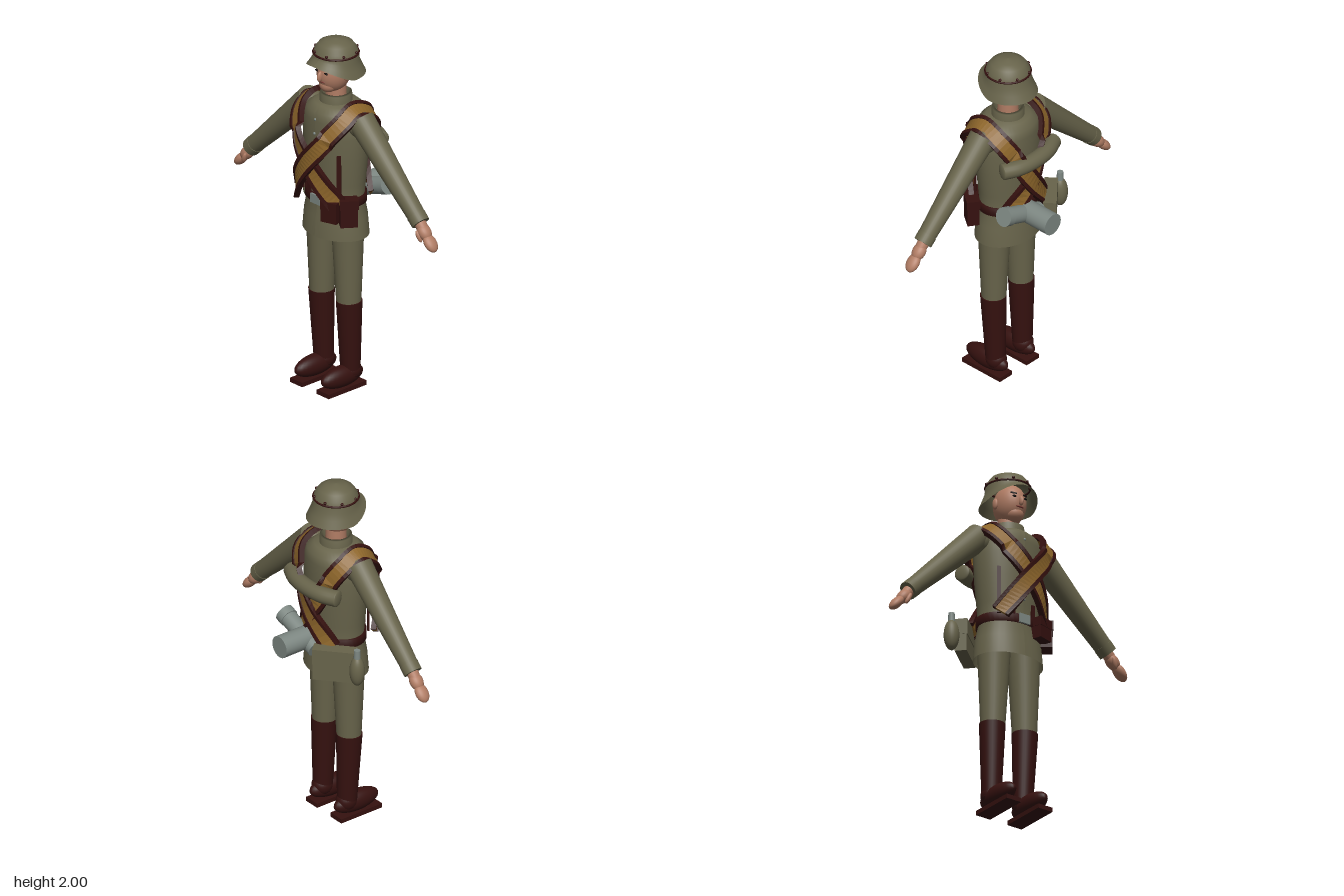
import * as THREE from 'three';

const mat = (name, color, side = THREE.FrontSide) =>
  Object.assign(new THREE.MeshStandardMaterial({ color, side }), { name });
const V = (x, y, z) => new THREE.Vector3(x, y, z);
const ZC = 0.06; // depth of the body axis

export function createModel() {
  const root = new THREE.Group();
  root.name = 'infantrySoldier';
  const cloth = mat('olive cloth', 0x68644b, THREE.DoubleSide);
  const skin = mat('skin', 0xb07c64);
  const leather = mat('dark leather', 0x35110f);
  const canvas = mat('ochre canvas', 0x8c652a);
  const metal = mat('grey metal', 0x7d8782);
  const black = mat('black', 0x17100e);
  const lipRed = mat('lips', 0x7c3a34);

  const add = (name, geo, m, p = [0, 0, 0], r = [0, 0, 0], s = [1, 1, 1]) => {
    const mesh = new THREE.Mesh(geo, m);
    mesh.name = name;
    mesh.position.set(...p);
    mesh.rotation.set(...r);
    mesh.scale.set(...s);
    root.add(mesh);
    return mesh;
  };
  const box = (name, size, m, p, r) => add(name, new THREE.BoxGeometry(...size), m, p, r);
  const ball = (name, radii, m, p, r) => add(name, new THREE.SphereGeometry(1, 28, 18), m, p, r, radii);
  // Tapered cylinder between two points
  const limb = (name, a, b, ra, rb, m, open = false) => {
    const dir = b.clone().sub(a);
    const mesh = add(name, new THREE.CylinderGeometry(rb, ra, dir.length(), 28, 1, open), m,
      a.clone().add(b).multiplyScalar(0.5).toArray());
    mesh.quaternion.setFromUnitVectors(V(0, 1, 0), dir.normalize());
    return mesh;
  };
  const lathe = (pts, seg = 40) =>
    new THREE.LatheGeometry(pts.map(p => new THREE.Vector2(...p)), seg);
  const reshape = (geo, rule) => {
    const pos = geo.attributes.position;
    const v = new THREE.Vector3();
    for (let i = 0; i < pos.count; i++) {
      rule(v.fromBufferAttribute(pos, i));
      pos.setXYZ(i, v.x, v.y, v.z);
    }
    geo.computeVertexNormals();
    return geo;
  };

  // Tunic: elliptical body rounding into a circular neck
  const depthAt = y => 0.76 + 0.2 * THREE.MathUtils.smoothstep(y, 1.54, 1.65);
  add('tunic', reshape(lathe([[0.203, 0.89], [0.193, 1], [0.172, 1.1], [0.182, 1.2], [0.196, 1.35],
    [0.202, 1.48], [0.195, 1.56], [0.165, 1.61], [0.12, 1.64], [0.07, 1.65]]),
    v => { v.z *= depthAt(v.y); }), cloth, [0, 0, ZC]);
  add('collar', lathe([[0.09, 1.625], [0.086, 1.69], [0.074, 1.695], [0.07, 1.64]]), cloth, [0, 0, ZC]);
  for (const [y, z] of [[1.22, 0.203], [1.31, 0.21], [1.4, 0.214], [1.49, 0.216], [1.57, 0.21]])
    ball('tunicButton', [0.008, 0.008, 0.006], metal, [0, y, z]);

  // Belt, buckle and loops
  add('belt', lathe([[0.168, 1.082], [0.187, 1.082], [0.187, 1.13], [0.168, 1.13]]), leather,
    [0, 0, ZC], [0, 0, 0], [1, 1, 0.78]);
  box('buckle', [0.07, 0.052, 0.012], metal, [0, 1.105, 0.208]);
  for (const x of [-0.065, 0.065]) box('beltLoop', [0.022, 0.08, 0.012], leather, [x, 1.165, 0.193]);
  for (const s of [-1, 1])
    box('supportStrap', [0.022, 0.27, 0.012], leather, [s * 0.14, 1.255, 0.168], [0, s * 0.6, 0]);

  // Cartridge pouches around the left hip
  for (const [x, z, turn, h, y] of [[0.115, 0.2, 0.3, 0.115, 1.07], [0.19, 0.145, 0.95, 0.15, 1.07]]) {
    box('pouch', [0.095, h, 0.065], leather, [x, y, z], [0, turn, 0]);
    box('pouchFlap', [0.1, 0.05, 0.073], leather, [x, y + h / 2 - 0.02, z], [0, turn, 0]);
  }

  // Arms, hands, legs and boots
  for (const s of [-1, 1]) {
    const hip = V(s * 0.098, 0.96, 0.067), knee = V(s * 0.105, 0.5, 0.065);
    ball('shoulder', [0.07, 0.075, 0.072], cloth, [s * 0.185, 1.56, ZC]);
    limb('sleeve', V(s * 0.195, 1.585, ZC), V(s * 0.655, 1.148, ZC), 0.075, 0.048, cloth);
    limb('cuff', V(s * 0.625, 1.176, ZC), V(s * 0.662, 1.141, ZC), 0.052, 0.051, cloth);
    limb('wrist', V(s * 0.64, 1.16, ZC), V(s * 0.69, 1.1, ZC), 0.034, 0.03, skin);
    ball('palm', [0.034, 0.052, 0.038], skin, [s * 0.69, 1.1, ZC], [0, 0, s * 0.75]);
    ball('fingers', [0.027, 0.055, 0.038], skin, [s * 0.738, 1.05, ZC], [0, 0, s * 0.75]);
    ball('thumb', [0.013, 0.035, 0.014], skin, [s * 0.682, 1.08, 0.092], [0.2, 0, s * 0.4]);
    limb('trouserLeg', hip, knee, 0.09, 0.067, cloth);
    limb('bootShaft', V(s * 0.108, 0.51, 0.065), V(s * 0.104, 0.08, 0.052), 0.071, 0.053, leather);
    ball('bootAnkle', [0.056, 0.06, 0.06], leather, [s * 0.104, 0.1, 0.05]);
    ball('bootFoot', [0.052, 0.06, 0.145], leather, [s * 0.104, 0.078, 0.113]);
    box('bootSole', [0.094, 0.025, 0.275], leather, [s * 0.104, 0.0125, 0.115]);
  }

  // Head and face
  limb('neck', V(0, 1.64, ZC), V(0, 1.76, ZC), 0.058, 0.055, skin);
  ball('head', [0.084, 0.115, 0.1], skin, [0, 1.815, 0.075]);
  ball('chin', [0.05, 0.045, 0.05], skin, [0, 1.75, 0.115]);
  ball('nose', [0.012, 0.03, 0.02], skin, [0, 1.81, 0.175], [-0.2, 0, 0]);
  ball('mouth', [0.026, 0.006, 0.008], lipRed, [0, 1.778, 0.164]);
  for (const s of [-1, 1]) {
    ball('eye', [0.014, 0.006, 0.006], black, [s * 0.034, 1.833, 0.165]);
    box('eyebrow', [0.034, 0.007, 0.008], black, [s * 0.036, 1.852, 0.16], [0, s * 0.35, s * 0.12]);
    ball('ear', [0.012, 0.032, 0.02], skin, [s * 0.085, 1.81, 0.06]);
  }

  // Helmet: the flared skirt rises towards the visor
  const helmet = lathe([[0.152, 1.803], [0.137, 1.845], [0.125, 1.88], [0.122, 1.915], [0.114, 1.945],
    [0.092, 1.975], [0.055, 1.993], [0.001, 2]], 48);
  add('helmet', reshape(helmet, v => {
    const r = Math.hypot(v.x, v.z), front = Math.max(0, v.z / r);
    const skirt = THREE.MathUtils.clamp((1.915 - v.y) / 0.112, 0, 1);
    v.z *= 1 + 0.09 * skirt;
    v.y += 0.078 * skirt * Math.pow(front, 1.3);
  }), cloth, [0, 0, ZC]);
  add('helmetBand', new THREE.TorusGeometry(0.121, 0.006, 8, 48), leather, [0, 1.922, ZC], [Math.PI / 2, 0, 0]);
  for (let i = 0; i < 8; i++) {
    const a = (i + 0.5) * Math.PI / 4;
    ball('helmetRivet', [0.008, 0.008, 0.008], leather, [0.119 * Math.sin(a), 1.936, ZC + 0.119 * Math.cos(a)]);
  }

  // Crossed bandoliers: rectangular sections swept over each shoulder
  const sweep = (curve, u0, u1, h0, h1) => {
    const n = 56, pos = [], idx = [], core = V(0, 1.35, ZC);
    for (let i = 0; i <= n; i++) {
      const p = curve.getPoint(i / n), t = curve.getTangent(i / n);
      const out = p.clone().sub(core);
      if (p.y < 1.5) out.y = 0;
      out.addScaledVector(t, -out.dot(t)).normalize();
      const across = t.clone().cross(out);
      for (const [u, h] of [[u0, h0], [u1, h0], [u1, h1], [u0, h1]])
        pos.push(...p.clone().addScaledVector(across, u).addScaledVector(out, h).toArray());
    }
    for (let i = 0; i < n; i++) for (let k = 0; k < 4; k++) {
      const a = i * 4 + k, b = i * 4 + (k + 1) % 4;
      idx.push(a, b, a + 4, b, b + 4, a + 4);
    }
    const e = n * 4;
    idx.push(0, 2, 1, 0, 3, 2, e, e + 1, e + 2, e, e + 2, e + 3);
    let g = new THREE.BufferGeometry();
    g.setAttribute('position', new THREE.Float32BufferAttribute(pos, 3));
    g.setIndex(idx);
    g = g.toNonIndexed();
    g.computeVertexNormals();
    return g;
  };
  const strapMats = [canvas, leather].map(m => {
    const c = m.clone();
    c.side = THREE.DoubleSide;
    return c;
  });
  for (const s of [-1, 1]) {
    const lift = s > 0 ? 0.012 : 0;
    const path = new THREE.CatmullRomCurve3([[-0.145, 1.11, 0.18], [-0.075, 1.23, 0.235], [0.005, 1.345, 0.255],
      [0.09, 1.455, 0.24], [0.165, 1.58, 0.16], [0.17, 1.632, 0.07], [0.165, 1.58, -0.03],
      [0.09, 1.44, -0.085], [0, 1.28, -0.1], [-0.13, 1.1, -0.06]]
      .map(([x, y, z]) => V(x * s, y, z + (z > ZC ? lift : -lift))));
    add('bandolier', sweep(path, -0.034, 0.034, 0, 0.02), strapMats[0]);
    for (const e of [-1, 1])
      add('bandolierEdge', sweep(path, e * 0.043 - 0.01, e * 0.043 + 0.01, -0.003, 0.026), strapMats[1]);
  }

  // Bedroll curved round the upper back
  const roll = new THREE.CatmullRomCurve3([V(-0.195, 1.43, -0.085), V(-0.11, 1.43, -0.122),
    V(0, 1.43, -0.135), V(0.11, 1.43, -0.122), V(0.195, 1.43, -0.085)]);
  add('bedroll', new THREE.TubeGeometry(roll, 32, 0.045, 20), cloth);
  for (const s of [-1, 1])
    ball('bedrollEnd', [0.045, 0.045, 0.012], cloth, [s * 0.195, 1.43, -0.085], [0, s * 1.17, 0]);

  // Canister and mess tin on the lower back
  limb('canister', V(0.2, 1.155, -0.115), V(-0.05, 1.065, -0.115), 0.048, 0.048, metal);
  limb('canisterLid', V(0.222, 1.163, -0.115), V(0.18, 1.148, -0.115), 0.053, 0.053, metal);
  limb('messTin', V(0.032, 1.103, -0.1), V(0.032, 1.103, -0.296), 0.062, 0.062, metal);

  // Bread bag and water bottle on the right hip
  box('breadBag', [0.23, 0.18, 0.065], cloth, [-0.175, 1.02, -0.085], [0, 0.72, 0]);
  box('breadBagFlap', [0.235, 0.09, 0.073], cloth, [-0.175, 1.07, -0.085], [0, 0.72, 0]);
  ball('waterBottle', [0.042, 0.088, 0.042], cloth, [-0.303, 1.018, -0.035]);
  limb('bottleCap', V(-0.303, 1.09, -0.035), V(-0.303, 1.145, -0.035), 0.019, 0.017, metal);

  return root;
}
